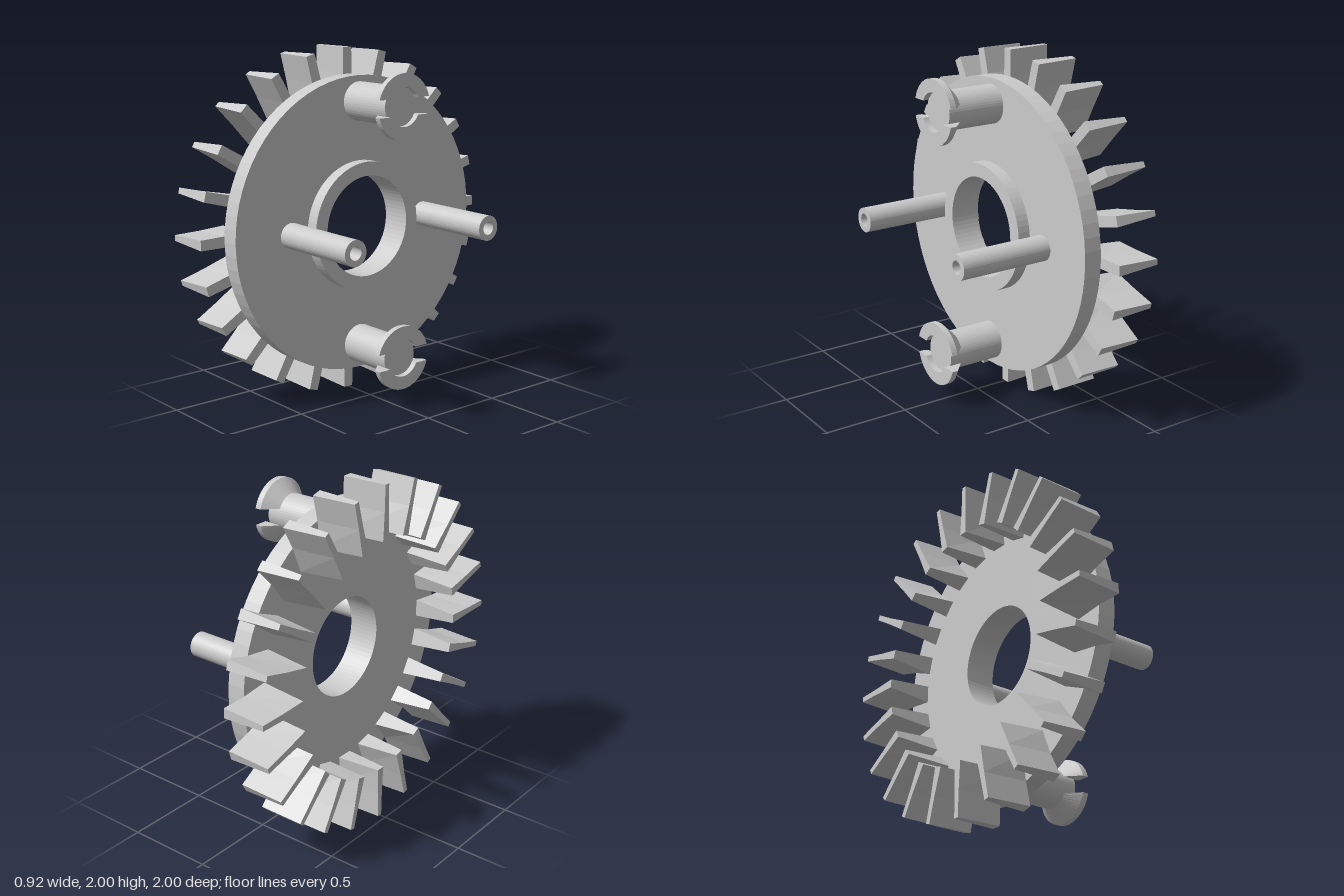
import * as THREE from 'three';

const material = new THREE.MeshStandardMaterial({ color: 0xcccccc, flatShading: true });

function addMesh(parent, name, geometry) {
  const mesh = new THREE.Mesh(geometry, material);
  mesh.name = name;
  parent.add(mesh);
  return mesh;
}

// Revolve a profile of [radius, x] points about the x axis
function turned(profile, segments = 64) {
  const points = profile.map(([r, x]) => new THREE.Vector2(r, x));
  return new THREE.LatheGeometry(points, segments).rotateZ(-Math.PI / 2);
}

// Join convex cross-sections into a closed solid
function loft(sections) {
  const pos = [];
  const tri = (a, b, c) => pos.push(...a, ...b, ...c);
  const n = sections[0].length;
  for (let i = 0; i < sections.length - 1; i++) {
    for (let j = 0; j < n; j++) {
      const k = (j + 1) % n;
      const [s, t] = [sections[i], sections[i + 1]];
      tri(s[j], s[k], t[k]);
      tri(s[j], t[k], t[j]);
    }
  }
  const first = sections[0], last = sections[sections.length - 1];
  for (let j = 1; j < n - 1; j++) {
    tri(first[0], first[j + 1], first[j]);
    tri(last[0], last[j], last[j + 1]);
  }
  const geometry = new THREE.BufferGeometry();
  geometry.setAttribute('position', new THREE.Float32BufferAttribute(pos, 3));
  geometry.computeVertexNormals();
  return geometry;
}

// Wedge blade: thick against the disc, thin at the back, flared at the root
function bladeGeometry() {
  const xBack = -0.46, xFront = -0.2;
  return loft([[0.69, 0.026, 0.05], [0.85, 0.018, 0.031], [1, 0.016, 0.029]].map(
    ([r, back, front]) => [
      [xBack, r, -back], [xBack, r, back], [xFront, r, front], [xFront, r, -front],
    ]));
}

// Upper half of a flared collar, cut straight along the slot
function collarGeometry() {
  const profile = [[0.18, 0.108], [0.255, 0.183], [0.29, 0.183], [0.29, 0.108]];
  const steps = 28, halfSlot = 0.048;
  const sections = [];
  for (let i = 0; i <= steps; i++) {
    sections.push(profile.map(([x, r]) => {
      const start = Math.asin(halfSlot / r);
      const a = start + (Math.PI - 2 * start) * i / steps;
      return [x, r * Math.sin(a), r * Math.cos(a)];
    }));
  }
  return loft(sections);
}

export function createModel() {
  const model = new THREE.Group();
  model.name = 'bladedWheel';
  const wheel = new THREE.Group();
  wheel.name = 'wheel';
  wheel.position.y = 1;
  model.add(wheel);

  // Disc and raised hub ring around one straight bore
  addMesh(wheel, 'discWithHub', turned([
    [0.29, -0.2], [0.85, -0.2], [0.85, -0.095], [0.37, -0.095],
    [0.37, -0.02], [0.29, -0.02], [0.29, -0.2],
  ], 72));

  // Ring of blades behind the disc
  const blade = bladeGeometry();
  const count = 24;
  for (let i = 0; i < count; i++) {
    addMesh(wheel, 'blade', blade).rotation.x = i * 2 * Math.PI / count;
  }

  // Studs with slotted, flared heads
  const shaft = turned([[0, -0.1], [0.11, -0.1], [0.11, 0.255], [0, 0.255]], 48);
  const collar = collarGeometry();
  // Hollow pins
  const pin = turned([
    [0.072, -0.1], [0.072, 0.46], [0.038, 0.46], [0.038, -0.09], [0, -0.09],
  ], 40);

  for (const side of [-1, 1]) {
    const stud = new THREE.Group();
    stud.name = 'slottedStud';
    stud.position.y = side * 0.705;
    addMesh(stud, 'studShaft', shaft);
    addMesh(stud, 'studCollar', collar);
    addMesh(stud, 'studCollar', collar).rotation.x = Math.PI;
    wheel.add(stud);

    addMesh(wheel, 'hollowPin', pin).position.z = side * 0.482;
  }
  return model;
}
